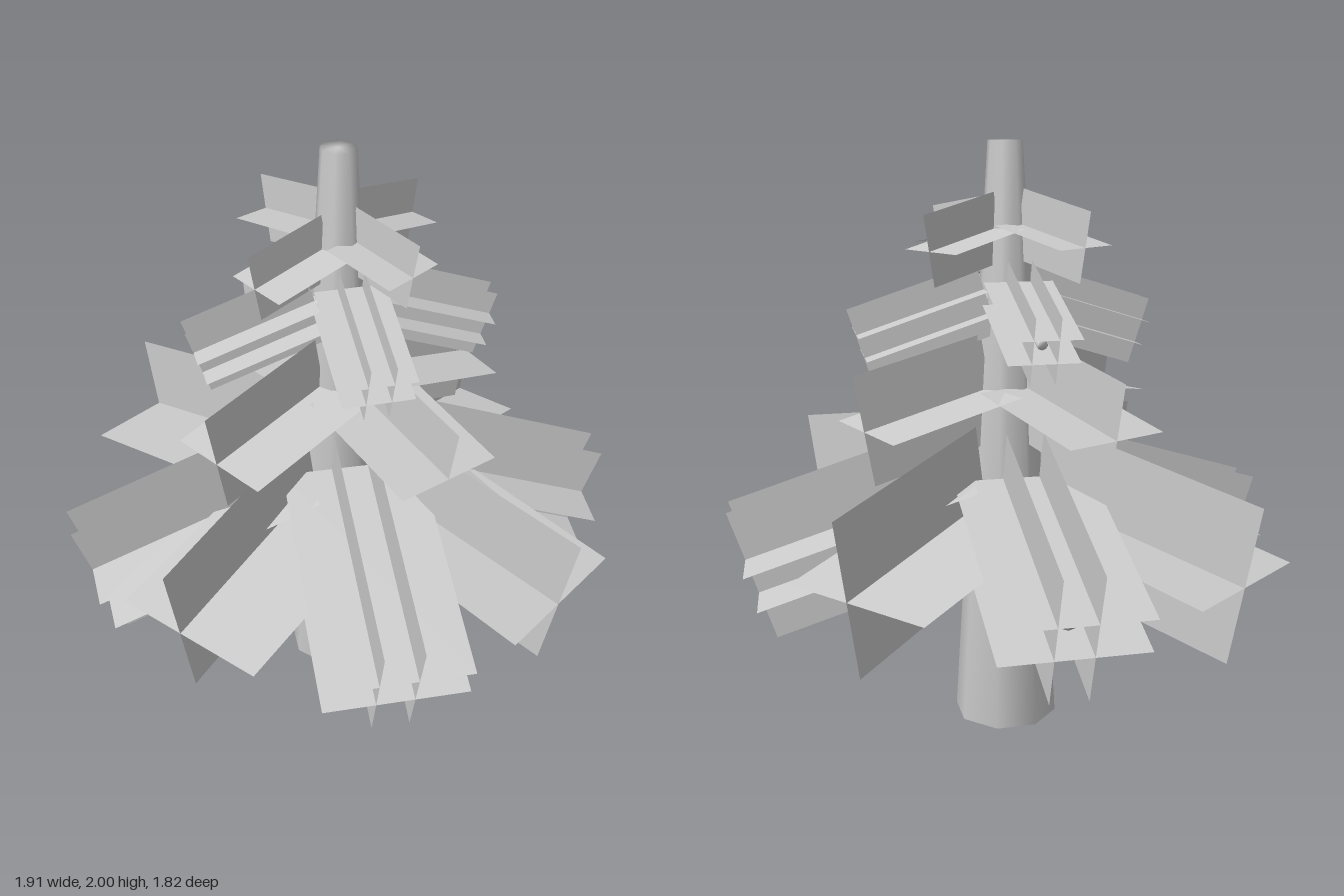
import * as THREE from 'three';
import { mergeVertices } from 'three/addons/utils/BufferGeometryUtils.js';

const leafMaterial = new THREE.MeshStandardMaterial({ color: 0xcccccc, side: THREE.DoubleSide });
const barkMaterial = new THREE.MeshStandardMaterial({ color: 0xcccccc });
const rad = THREE.MathUtils.degToRad;

// Tapered eight-sided stick with fully smooth normals
function taperedStick(topRadius, bottomRadius, height) {
  let geometry = new THREE.CylinderGeometry(topRadius, bottomRadius, height, 8);
  geometry.deleteAttribute('uv');
  geometry.deleteAttribute('normal');
  geometry = mergeVertices(geometry);
  geometry.computeVertexNormals();
  return geometry;
}

// One branch along local +x: foliage cards at the given offsets, level and upright.
// The level cards may sit a little to the side and be turned slightly.
function makeBranch(length, { start, width, gap, side, levelSide, levelTurn }) {
  const branch = new THREE.Group();
  const offsets = gap > 0 ? [-gap / 2, gap / 2] : [0];
  for (const offset of offsets) {
    const card = new THREE.PlaneGeometry(length - start, width);
    const upright = new THREE.Mesh(card, leafMaterial);
    upright.name = 'uprightFoliage';
    upright.position.set((length + start) / 2, 0, side + offset);
    const level = new THREE.Mesh(card, leafMaterial);
    level.name = 'levelFoliage';
    level.rotation.set(-Math.PI / 2, 0, -rad(levelTurn));
    level.position.set((length + start) / 2, offset, levelSide);
    branch.add(upright, level);
  }
  // Woody core running between the doubled cards
  if (gap > 0) {
    const coreLength = length * 0.9;
    const core = new THREE.Mesh(taperedStick(gap * 0.22, gap * 0.4, coreLength), barkMaterial);
    core.name = 'branchCore';
    core.rotation.z = -Math.PI / 2;
    core.position.set(coreLength / 2, 0, side);
    branch.add(core);
  }
  return branch;
}

// Tiers from bottom to top; spokes are [angle in degrees from +x towards +z, reach, lift]
const tiers = [
  { name: 'lowerCrossBranch', y: 0.85, droop: 10.5, start: 0.14, width: 0.54, gap: 0,
    side: -0.005, levelSide: -0.045, levelTurn: 2,
    spokes: [[27.7, 0.91, 0], [113.8, 0.86, 0], [209, 0.92, 0], [295.3, 0.845, -0.005]] },
  { name: 'lowerDoubleBranch', y: 0.88, droop: 18, start: 0.12, width: 0.475, gap: 0.125,
    side: -0.02, levelSide: -0.025, levelTurn: 0,
    spokes: [[68, 0.885, 0], [152.3, 0.87, -0.035], [248.3, 0.835, 0], [342, 0.875, -0.01]] },
  { name: 'middleCrossBranch', y: 1.215, droop: 10.5, start: 0.08, width: 0.375, gap: 0,
    side: -0.015, levelSide: -0.02, levelTurn: 0,
    spokes: [[42.5, 0.565, -0.015], [124, 0.545, 0], [225, 0.555, 0], [317.5, 0.55, -0.005]] },
  { name: 'middleDoubleBranch', y: 1.53, droop: 18, start: 0.08, width: 0.23, gap: 0.08,
    side: -0.02, levelSide: -0.02, levelTurn: 0,
    spokes: [[65, 0.46, 0.025], [153.5, 0.47, -0.02], [248.7, 0.465, 0.01], [339, 0.495, -0.015]] },
  { name: 'upperCrossBranch', y: 1.735, droop: 10.5, start: 0.05, width: 0.23, gap: 0,
    side: -0.01, levelSide: -0.015, levelTurn: 0,
    spokes: [[31, 0.3, -0.015], [129, 0.33, -0.035], [218.5, 0.35, 0.01], [305, 0.355, 0]] },
];

export function createModel() {
  const tree = new THREE.Group();
  tree.name = 'tree';

  // Trunk
  const trunk = new THREE.Mesh(taperedStick(0.058, 0.18, 2), barkMaterial);
  trunk.name = 'trunk';
  trunk.position.set(0.005, 1, -0.02);
  tree.add(trunk);

  // Drooping branches
  for (const tier of tiers) {
    const droop = rad(tier.droop);
    for (const [angle, reach, lift] of tier.spokes) {
      const branch = makeBranch(reach / Math.cos(droop), tier);
      branch.name = tier.name;
      branch.position.set(0, tier.y + lift, -0.02);
      branch.rotation.set(0, -rad(angle), -droop);
      tree.add(branch);
    }
  }
  return tree;
}
